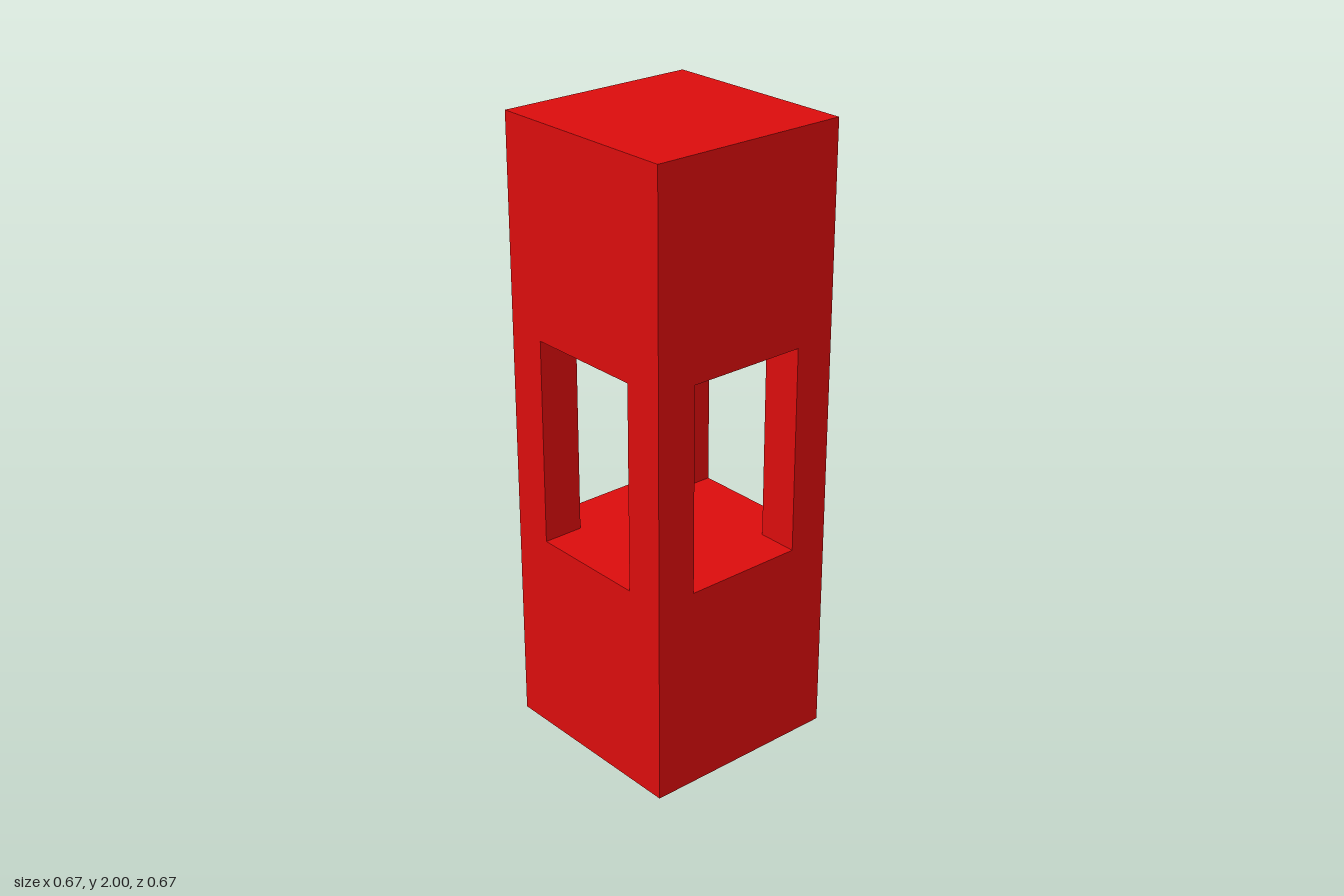
import * as THREE from 'three';
import { mergeGeometries } from 'three/addons/utils/BufferGeometryUtils.js';

const HEIGHT = 2;
const H = 1 / 3;          // half width of the tower
const W = 0.2;            // half width of the openings
const LOW = 2 / 3;        // sill of the openings
const HIGH = 4 / 3;       // head of the openings

// Horizontal face at height y, looking up or down
function level(shape, y, up) {
  return new THREE.ShapeGeometry(shape).rotateX(up ? -Math.PI / 2 : Math.PI / 2).translate(0, y, 0);
}

function polygon(points) {
  return new THREE.Shape(points.map(([x, y]) => new THREE.Vector2(x, y)));
}

export function createModel() {
  const group = new THREE.Group();
  group.name = 'tower';
  const material = new THREE.MeshStandardMaterial({ color: 0xdf0d0d });
  const add = (name, parts) => {
    const mesh = new THREE.Mesh(mergeGeometries(parts), material);
    mesh.name = name;
    group.add(mesh);
  };

  // Four outer walls, each with a window and the inward sides of its posts
  const wall = polygon([[-H, 0], [H, 0], [H, HEIGHT], [-H, HEIGHT]]);
  wall.holes.push(polygon([[-W, LOW], [-W, HIGH], [W, HIGH], [W, LOW]]));
  ['front', 'left', 'back', 'right'].forEach((side, i) => {
    const parts = [new THREE.ShapeGeometry(wall).translate(0, 0, H)];
    for (const s of [-1, 1]) {
      parts.push(new THREE.PlaneGeometry(H - W, HIGH - LOW)
        .rotateY(-s * Math.PI / 2)
        .translate(s * W, (LOW + HIGH) / 2, (W + H) / 2));
    }
    parts.forEach((g) => g.rotateY(i * Math.PI / 2));
    add(side + 'Wall', parts);
  });

  // Cross-shaped floor and ceiling between the four corner posts
  const cross = polygon([
    [-W, -H], [W, -H], [W, -W], [H, -W], [H, W], [W, W],
    [W, H], [-W, H], [-W, W], [-H, W], [-H, -W], [-W, -W],
  ]);
  add('chamberFloor', [level(cross, LOW, true)]);
  add('chamberCeiling', [level(cross, HIGH, false)]);

  // Flat top and underside
  const square = polygon([[-H, -H], [H, -H], [H, H], [-H, H]]);
  add('top', [level(square, HEIGHT, true)]);
  add('base', [level(square, 0, false)]);

  return group;
}
